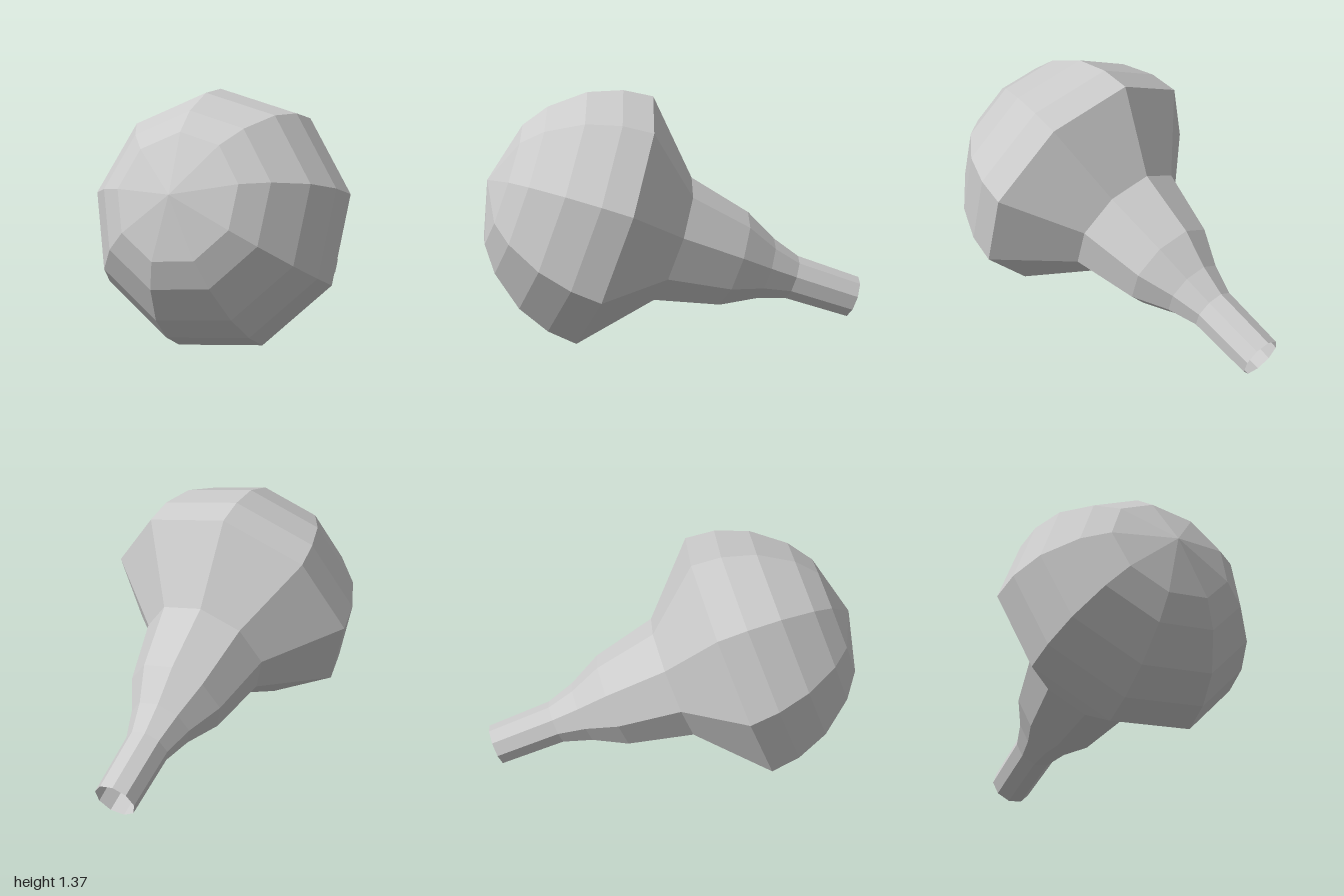
import * as THREE from 'three';

const SIDES = 9;

// Faceted turned shell from [distance along axis, radius] pairs
function turned(name, profile) {
  const points = profile.map(([t, r]) => new THREE.Vector2(r, t));
  const geometry = new THREE.LatheGeometry(points, SIDES).toNonIndexed();
  geometry.computeVertexNormals();
  const material = new THREE.MeshStandardMaterial({
    color: 0xcccccc, flatShading: true, side: THREE.DoubleSide,
  });
  const mesh = new THREE.Mesh(geometry, material);
  mesh.name = name;
  return mesh;
}

export function createModel() {
  const model = new THREE.Group();
  model.name = 'lightBulb';

  const body = new THREE.Group();
  body.name = 'bulbBody';

  // Rounded dome: rings of a sphere, closed at the tip
  const R = 0.719;
  const dome = [0, 13.5, 29.3, 47.8, 61.2, 90].map((deg) => {
    const a = THREE.MathUtils.degToRad(deg);
    return [R * Math.sin(a), deg === 90 ? 0 : R * Math.cos(a)];
  });
  body.add(turned('dome', dome));

  // Tapering neck, open at its narrow end
  body.add(turned('neck', [
    [-1.45, 0.118], [-1.075, 0.126], [-0.91, 0.178], [-0.718, 0.275], [-0.35, 0.36], [0, R],
  ]));

  // Lay the body on its side, dome raised and neck touching down behind
  const axis = new THREE.Vector3(-0.412, 0.335, 0.847).normalize();
  const down = new THREE.Vector3(-0.362, -0.914, 0.185);
  down.addScaledVector(axis, -down.dot(axis)).normalize();
  const side = new THREE.Vector3().crossVectors(axis, down);
  body.quaternion.setFromRotationMatrix(new THREE.Matrix4().makeBasis(side, axis, down));
  body.position.set(0, 0.657, 0.287);

  model.add(body);
  return model;
}
